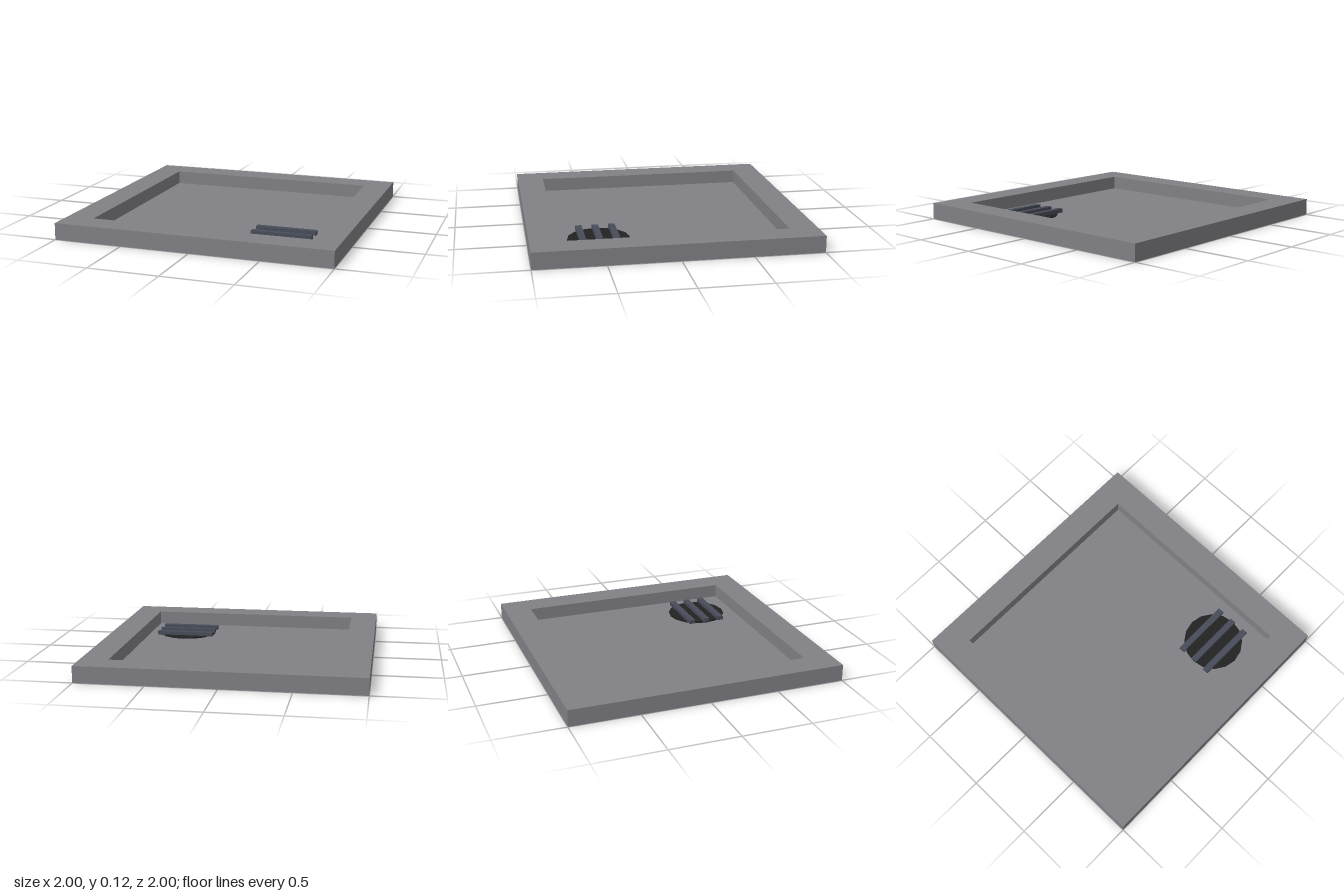
import * as THREE from 'three';

const stone = new THREE.MeshStandardMaterial({ color: 0x808085 });
stone.name = 'grey stone';
const dark = new THREE.MeshStandardMaterial({ color: 0x222222 });
dark.name = 'drain black';
const steel = new THREE.MeshStandardMaterial({ color: 0x474c58 });
steel.name = 'slate steel';
dark.flatShading = true;

const HEIGHT = 0.12, FLOOR = 0.02, INNER = 0.8;

function square(target, half) {
  target.moveTo(-half, -half);
  target.lineTo(half, -half);
  target.lineTo(half, half);
  target.lineTo(-half, half);
  target.closePath();
  return target;
}

function add(parent, name, geometry, material, x, y, z) {
  const mesh = new THREE.Mesh(geometry, material);
  mesh.name = name;
  mesh.position.set(x, y, z);
  parent.add(mesh);
  return mesh;
}

export function createModel() {
  const model = new THREE.Group();
  model.name = 'drainTray';

  // Raised square rim around the recess
  const outline = square(new THREE.Shape(), 1);
  outline.holes.push(square(new THREE.Path(), INNER));
  const rim = new THREE.ExtrudeGeometry(outline, { depth: HEIGHT, bevelEnabled: false });
  rim.rotateX(-Math.PI / 2);
  add(model, 'rim', rim, stone, 0, 0, 0);

  // Thin recessed floor
  add(model, 'floor', new THREE.BoxGeometry(INNER * 2, FLOOR, INNER * 2), stone, 0, FLOOR / 2, 0);

  // Drain disc with three grate bars in the front left corner
  const drain = new THREE.Group();
  drain.name = 'drain';
  drain.position.set(0.5, FLOOR, 0.5);
  model.add(drain);
  add(drain, 'drainDisc', new THREE.CylinderGeometry(0.22, 0.22, 0.01, 16), dark, 0, 0.005, 0);
  for (const z of [-0.12, 0, 0.12]) {
    add(drain, 'grateBar', new THREE.BoxGeometry(0.44, 0.03, 0.045), steel, 0, 0.022, z);
  }
  return model;
}
